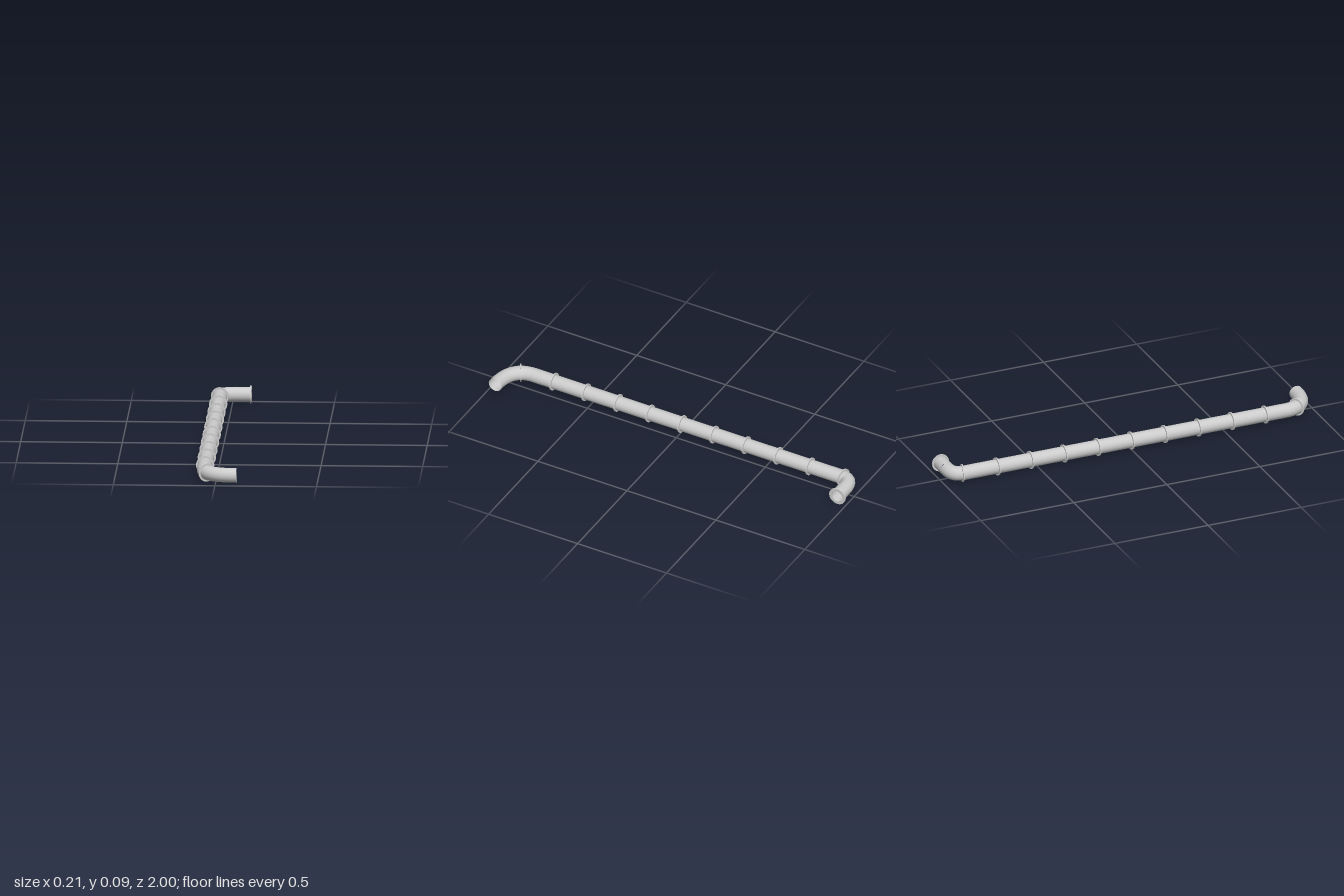
import * as THREE from 'three';

const R = 0.036, FLANGE_R = 0.045, BORE = 0.029, THICK = 0.007;
const Y = 0.045, X = -0.06, SIDES = 24;

export function createModel() {
  const group = new THREE.Group();
  const mat = new THREE.MeshStandardMaterial({ color: 0xcccccc, side: THREE.DoubleSide });
  const at = (x, z) => new THREE.Vector3(x, Y, z);
  const add = (geometry, name) => {
    const mesh = new THREE.Mesh(geometry, mat);
    mesh.name = name;
    group.add(mesh);
    return mesh;
  };

  // Flat collar with a round bore, centred on its own z axis
  const ring = new THREE.Shape().absarc(0, 0, FLANGE_R, 0, Math.PI * 2);
  ring.holes.push(new THREE.Path().absarc(0, 0, BORE, 0, Math.PI * 2, true));
  const flangeGeo = new THREE.ExtrudeGeometry(ring, { depth: THICK, bevelEnabled: false, curveSegments: SIDES });
  flangeGeo.translate(0, 0, -THICK / 2);
  const addFlange = (pos, dir, name) => {
    const mesh = add(flangeGeo, name);
    mesh.position.copy(pos);
    mesh.quaternion.setFromUnitVectors(new THREE.Vector3(0, 0, 1), dir.clone().normalize());
  };

  // Long straight run, open at both ends
  const z0 = -0.89, z1 = 0.83;
  const run = new THREE.CylinderGeometry(R, R, z1 - z0, SIDES, 1, true).rotateX(Math.PI / 2);
  add(run, 'straightPipe').position.copy(at(X, (z0 + z1) / 2));

  // Wide, smooth front elbow
  const frontBend = new THREE.CubicBezierCurve3(at(X, z1), at(X, 0.92), at(0, 0.961), at(0.104, 0.961));
  add(new THREE.TubeGeometry(frontBend, 20, R, SIDES), 'frontElbow');

  // Tighter back elbow and its short outlet
  const backBend = new THREE.CubicBezierCurve3(at(X, z0), at(X, -0.935), at(-0.045, -0.953), at(0.01, -0.956));
  add(new THREE.TubeGeometry(backBend, 8, R, SIDES), 'backElbow');
  const outlet = new THREE.LineCurve3(at(0.01, -0.956), at(0.09, -0.956));
  add(new THREE.TubeGeometry(outlet, 1, R, SIDES), 'backOutlet');

  // Evenly spaced collars along the run
  for (let i = -4; i <= 4; i++) addFlange(at(X, i * 0.18), new THREE.Vector3(0, 0, 1), 'pipeFlange');

  // Tilted collars at the elbows and the collar on the back outlet
  addFlange(frontBend.getPoint(0.3), frontBend.getTangent(0.3), 'frontElbowFlange');
  addFlange(at(X, -0.905), new THREE.Vector3(-0.22, 0, 1), 'backElbowFlange');
  addFlange(at(0.09, -0.956), new THREE.Vector3(1, 0, 0), 'outletFlange');

  return group;
}
